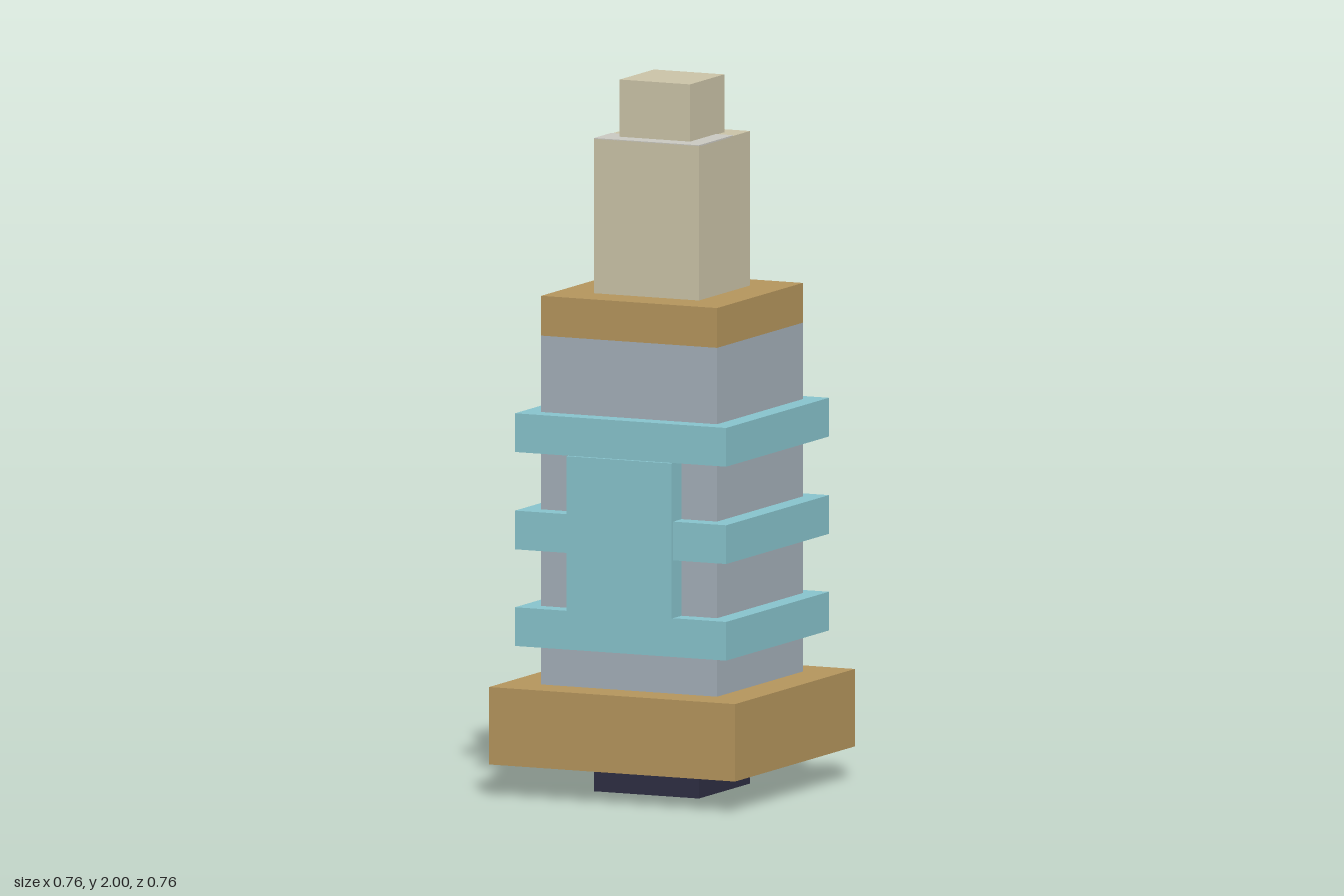
import * as THREE from 'three';

const mat = (name, color) => {
  const m = new THREE.MeshStandardMaterial({ color });
  m.name = name;
  return m;
};

export function createModel() {
  const tan = mat('tan', 0xb3945c);
  const grey = mat('blueGrey', 0xa2aeb7);
  const teal = mat('teal', 0x86c2cb);
  const beige = mat('beige', 0xc9c2a6);
  const dark = mat('darkNavy', 0x2d2d42);
  const pale = mat('paleGrey', 0xc8c7c0);

  const model = new THREE.Group();
  model.name = 'tower';

  // Box given by its width, depth, bottom and top heights, and centre
  const block = (name, material, w, d, y0, y1, x = 0, z = 0) => {
    const mesh = new THREE.Mesh(new THREE.BoxGeometry(w, y1 - y0, d), material);
    mesh.name = name;
    mesh.position.set(x, (y0 + y1) / 2, z);
    model.add(mesh);
  };

  // Stacked square core
  block('foot', dark, 0.325, 0.325, 0, 0.09);
  block('base', tan, 0.762, 0.762, 0.09, 0.308);
  block('body', grey, 0.545, 0.545, 0.308, 1.29);
  block('cap', tan, 0.545, 0.545, 1.29, 1.402);
  block('column', beige, 0.325, 0.325, 1.402, 1.837);
  block('finial', beige, 0.218, 0.218, 1.837, 2);

  // Bands around the body
  for (const y of [0.42, 0.692, 0.966]) block('band', teal, 0.654, 0.654, y, y + 0.109);

  // Front and back panels
  for (const s of [1, -1]) block('panel', teal, 0.325, 0.066, 0.529, 0.966, 0, s * 0.305);

  // Pale patches on the column ledge
  block('ledgeFront', pale, 0.325, 0.1085, 1.835, 1.839, 0, 0.10825);
  block('ledgeSide', pale, 0.0545, 0.11, 1.835, 1.839, 0.13525, -0.001);

  return model;
}
